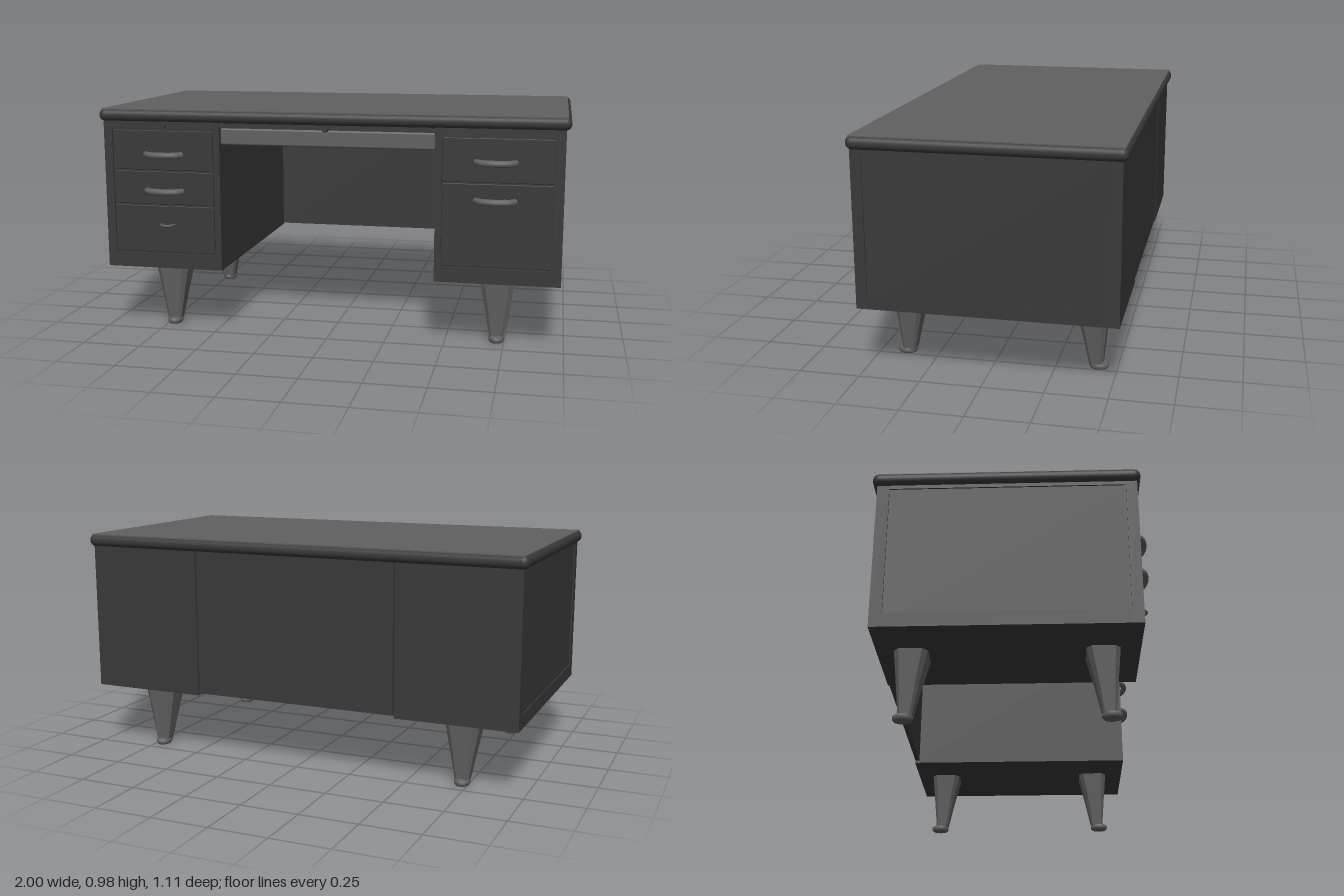
import * as THREE from 'three';
import { RoundedBoxGeometry } from 'three/addons/geometries/RoundedBoxGeometry.js';

export function createModel() {
  const desk = new THREE.Group();
  desk.name = 'desk';

  const mat = (name, color) => {
    const m = new THREE.MeshStandardMaterial({ color });
    m.name = name;
    return m;
  };
  const dark = mat('darkSteel', 0x393939);
  const light = mat('greyMetal', 0x606060);

  const add = (name, geometry, material, parent = desk) => {
    const mesh = new THREE.Mesh(geometry, material);
    mesh.name = name;
    parent.add(mesh);
    return mesh;
  };
  // Box given by its lower and upper limits, optionally with rounded edges
  const box = (name, [x0, x1], [y0, y1], [z0, z1], material, radius = 0) => {
    const size = [x1 - x0, y1 - y0, z1 - z0];
    const geometry = radius
      ? new RoundedBoxGeometry(...size, 4, radius)
      : new THREE.BoxGeometry(...size);
    geometry.translate((x0 + x1) / 2, (y0 + y1) / 2, (z0 + z1) / 2);
    return add(name, geometry, material);
  };

  // Desktop: rounded rim with a flat writing surface
  box('topRim', [-1, 1], [0.92, 0.974], [-0.555, 0.52], dark, 0.026);
  box('writingSurface', [-0.986, 0.986], [0.967, 0.975], [-0.543, 0.508], light);

  // Pedestals with framed outer sides
  for (const s of [-1, 1]) {
    const span = (a, b) => (s > 0 ? [a, b] : [-b, -a]);
    box('pedestal', span(0.46, 0.974), [0.28, 0.935], [-0.535, 0.497], dark);
    box('sideFrameFront', span(0.97, 0.98), [0.28, 0.93], [0.46, 0.5], dark);
    box('sideFrameBack', span(0.97, 0.98), [0.28, 0.93], [-0.535, -0.485], dark);
    box('sideFrameBottom', span(0.97, 0.98), [0.28, 0.34], [-0.485, 0.46], dark);
    box('sideFrameTop', span(0.97, 0.98), [0.905, 0.93], [-0.485, 0.46], dark);
    // Front border around the drawers
    box('frontStileOuter', span(0.943, 0.98), [0.28, 0.93], [0.495, 0.505], dark);
    box('frontStileInner', span(0.46, 0.487), [0.28, 0.93], [0.495, 0.505], dark);
    box('frontSill', span(0.487, 0.943), [0.28, 0.345], [0.495, 0.505], dark);
    box('frontRail', span(0.487, 0.943), [0.89, 0.93], [0.495, 0.505], dark);
  }

  // Drawer fronts, separated by narrow gaps
  const drawers = (x0, x1, levels) => {
    for (let i = 0; i < levels.length - 1; i++) {
      box('drawerFront', [x0, x1], [levels[i + 1] + 0.003, levels[i] - 0.003], [0.495, 0.507], dark, 0.003);
    }
  };
  drawers(-0.94, -0.49, [0.887, 0.71, 0.56, 0.348]);
  drawers(0.49, 0.94, [0.887, 0.7, 0.348]);

  // Knee space: back panel, rail and shallow centre drawer
  box('kneePanel', [-0.455, 0.455], [0.29, 0.93], [-0.533, -0.513], dark);
  box('kneeRail', [-0.46, 0.46], [0.9, 0.93], [-0.513, 0.5], dark);
  box('centreDrawerBody', [-0.44, 0.44], [0.835, 0.9], [-0.35, 0.485], dark);
  box('centreDrawerFront', [-0.457, 0.457], [0.828, 0.9], [0.48, 0.5], light, 0.009);

  // Bowed handles on two posts
  const handle = (x, y, width, thickness) => {
    const g = new THREE.Group();
    g.name = 'drawerHandle';
    g.position.set(x, y, 0.505);
    const h = width / 2;
    const curve = new THREE.CatmullRomCurve3([
      [-h, 0], [-h * 0.75, 0.024], [0, 0.037], [h * 0.75, 0.024], [h, 0],
    ].map(([px, pz]) => new THREE.Vector3(px, 0, pz)));
    add('grip', new THREE.TubeGeometry(curve, 20, thickness, 10), light, g);
    const postShape = new THREE.CylinderGeometry(thickness * 0.6, thickness * 0.8, 0.03, 10)
      .rotateX(Math.PI / 2);
    for (const s of [-1, 1]) {
      add('post', postShape, light, g).position.set(s * h * 0.5, 0, 0.012);
    }
    desk.add(g);
  };
  handle(-0.71, 0.78, 0.16, 0.014);
  handle(-0.71, 0.622, 0.16, 0.014);
  handle(0.705, 0.785, 0.16, 0.014);
  handle(0.705, 0.627, 0.16, 0.014);
  handle(-0.7, 0.475, 0.06, 0.005);

  // Round locks below the desktop
  const lockShape = new THREE.CylinderGeometry(0.012, 0.014, 0.018, 16).rotateX(Math.PI / 2);
  for (const x of [-0.71, 0, 0.71]) {
    add('lock', lockShape, dark).position.set(x, 0.905, 0.507);
  }

  // Tapered leg lofted from chamfered rectangles: [y, halfWidth, z centre, halfDepth]
  const legGeometry = () => {
    const sections = [[0.015, 0.028, 0.375, 0.027], [0.15, 0.052, 0.367, 0.046], [0.285, 0.077, 0.357, 0.068]];
    const ring = ([y, w, zc, d]) => {
      const c = 0.3;
      return [[1, 1 - c], [1 - c, 1], [c - 1, 1], [-1, 1 - c], [-1, c - 1], [c - 1, -1], [1 - c, -1], [1, c - 1]]
        .map(([a, b]) => [a * w, y, zc + b * d]);
    };
    const positions = [];
    for (let i = 0; i < sections.length - 1; i++) {
      const low = ring(sections[i]);
      const high = ring(sections[i + 1]);
      for (let k = 0; k < 8; k++) {
        const n = (k + 1) % 8;
        // The ring runs clockwise seen from above
        positions.push(...low[k], ...high[k], ...high[n], ...low[k], ...high[n], ...low[n]);
      }
    }
    const geometry = new THREE.BufferGeometry();
    geometry.setAttribute('position', new THREE.Float32BufferAttribute(positions, 3));
    geometry.computeVertexNormals();
    return geometry;
  };
  const legShape = legGeometry();
  const footShape = new THREE.LatheGeometry(
    [[0, 0], [0.85, 0], [1, 0.008], [1, 0.02], [0.75, 0.028], [0, 0.028]]
      .map(([r, y]) => new THREE.Vector2(r, y)), 20).scale(0.033, 1, 0.041);
  for (const x of [-0.725, 0.718]) {
    for (const back of [false, true]) {
      const leg = new THREE.Group();
      leg.name = back ? 'backLeg' : 'frontLeg';
      add('taperedLeg', legShape, light, leg);
      add('foot', footShape, light, leg).position.z = 0.385;
      leg.position.set(x, 0, back ? -0.04 : 0);
      if (back) leg.rotation.y = Math.PI;
      desk.add(leg);
    }
  }

  return desk;
}
